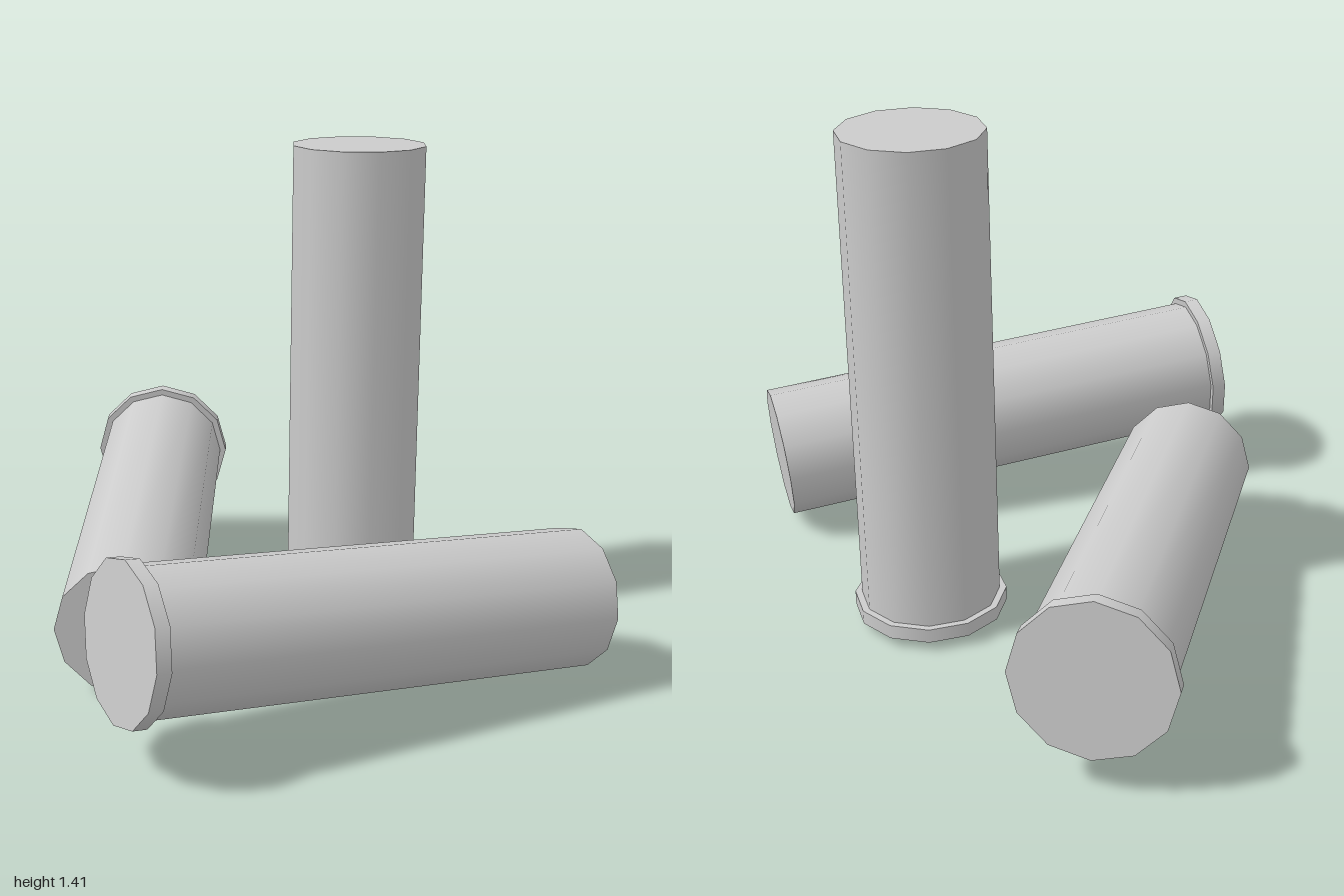
import * as THREE from 'three';

const SIDES = 12, BODY_R = 0.193, RIM_R = 0.212, RIM_H = 0.04;
const material = new THREE.MeshStandardMaterial({ color: 0xcccccc });

// A rimmed cylinder whose rim end sits at `base` and whose plain end sits at `tip`
function makeShell(name, base, tip) {
  const from = new THREE.Vector3(...base);
  const axis = new THREE.Vector3(...tip).sub(from);
  const length = axis.length();
  axis.normalize();

  const shell = new THREE.Group();
  shell.name = name;

  const body = new THREE.Mesh(
    new THREE.CylinderGeometry(BODY_R, BODY_R, length - RIM_H, SIDES), material);
  body.name = 'body';
  body.position.y = (length + RIM_H) / 2;

  const rim = new THREE.Mesh(
    new THREE.CylinderGeometry(RIM_R, RIM_R, RIM_H, SIDES), material);
  rim.name = 'rim';
  rim.position.y = RIM_H / 2;

  shell.add(body, rim);
  shell.position.copy(from);
  // Tilt, then turn, so that a corner of the polygon stays uppermost
  shell.rotation.set(Math.acos(axis.y), Math.atan2(axis.x, axis.z), 0, 'YXZ');
  return shell;
}

export function createModel() {
  const model = new THREE.Group();
  model.name = 'shells';
  model.add(
    makeShell('standingShell', [0.523, 0.03, 0.077], [0.523, 1.415, 0.077]),
    makeShell('frontLyingShell', [-0.68, 0.343, 0.446], [0.646, 0.225, 0.805]),
    makeShell('backLyingShell', [0.583, 0.313, -0.85], [-0.388, 0.195, 0.116]),
  );
  return model;
}
